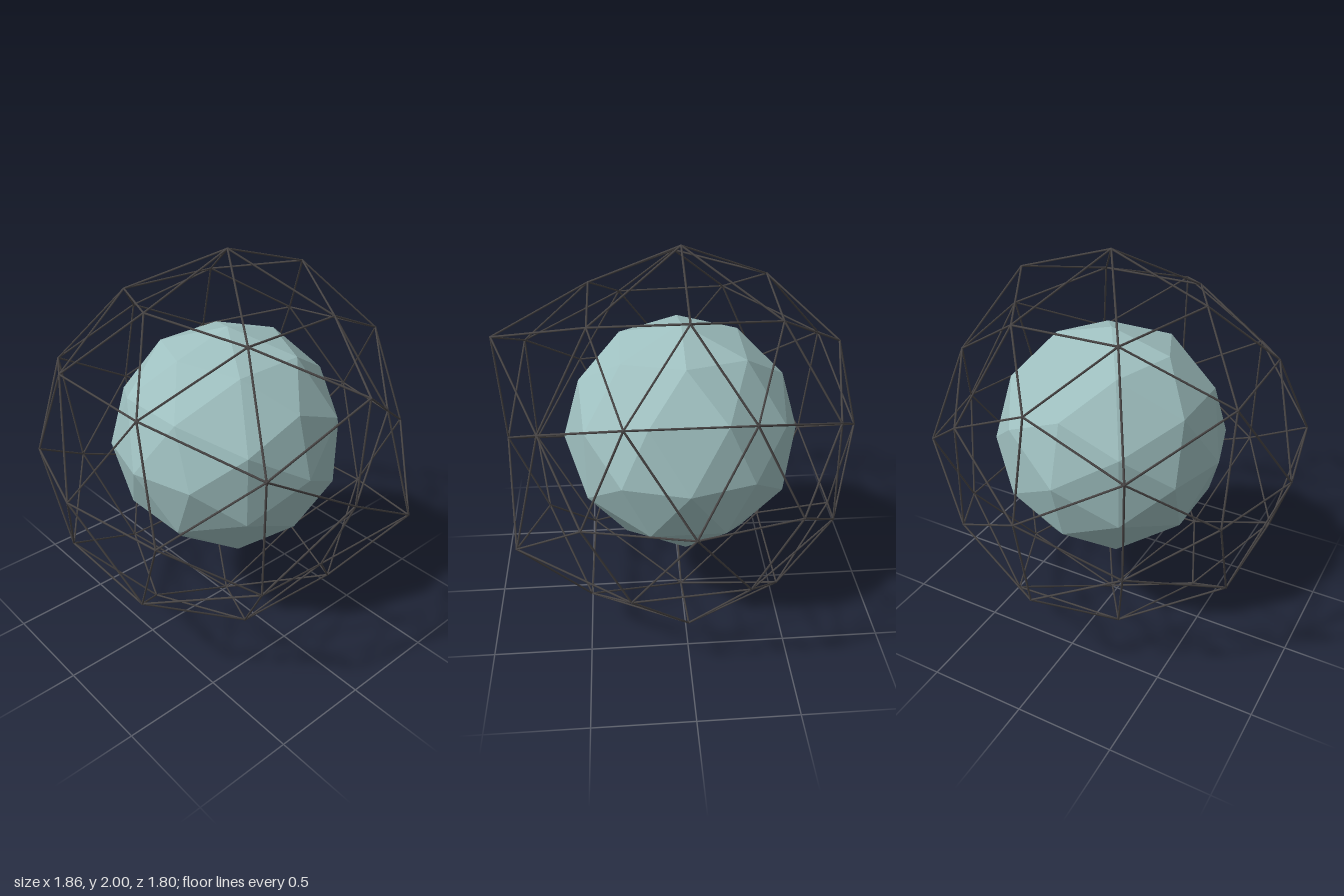
import * as THREE from 'three';

const CENTRE = new THREE.Vector3(0.03, 1.025, 0);
const WIRE = 0.005;

// Each family: a direction and the radius of every mirrored copy,
// ordered x+ then x-, inside it y+ then y-, inside it z+ then z-.
// Zero components are not mirrored.
const A = 0.5257, B = 0.8507;
const FAMILIES = [
  [[1, 0, 0], [0.893, 0.954]],
  [[0, 1, 0], [0.97, 1.015]],
  [[0, 0, 1], [0.868, 0.894]],
  [[A, B, 0], [0.95, 0.975, 0.922, 0.937]],
  [[0, A, B], [1.051, 0.907, 0.815, 0.942]],
  [[B, 0, A], [0.931, 0.91, 1.015, 0.946]],
  [[0.309, 0.809, 0.5], [0.87, 0.873, 0.975, 0.965, 0.873, 0.895, 0.945, 0.94]],
  [[0.5, 0.309, 0.809], [0.837, 0.865, 1.005, 0.875, 0.987, 0.972, 0.965, 0.876]],
  [[0.809, 0.5, 0.309], [0.94, 0.865, 0.92, 0.885, 0.93, 0.945, 0.975, 0.965]],
];

// Directions and displaced points of the outer lattice
function latticePoints() {
  const points = [];
  const signs = (v) => (v === 0 ? [1] : [1, -1]);
  for (const [[x, y, z], radii] of FAMILIES) {
    let i = 0;
    for (const sx of signs(x)) for (const sy of signs(y)) for (const sz of signs(z)) {
      const dir = new THREE.Vector3(x * sx, y * sy, z * sz).normalize();
      points.push({ dir, pos: dir.clone().multiplyScalar(radii[i++]) });
    }
  }
  return points;
}

function strut(a, b, material) {
  const along = b.clone().sub(a);
  const mesh = new THREE.Mesh(new THREE.CylinderGeometry(WIRE, WIRE, along.length(), 6), material);
  mesh.position.copy(a).add(b).multiplyScalar(0.5);
  mesh.quaternion.setFromUnitVectors(new THREE.Vector3(0, 1, 0), along.normalize());
  mesh.name = 'strut';
  return mesh;
}

export function createModel() {
  const model = new THREE.Group();
  model.name = 'facetedBallInCage';

  // Faceted inner ball
  const ball = new THREE.Mesh(
    new THREE.IcosahedronGeometry(0.59, 1),
    new THREE.MeshStandardMaterial({ color: 0x9fc0c0, flatShading: true })
  );
  ball.name = 'innerBall';
  ball.position.copy(CENTRE);
  model.add(ball);

  // Irregular wire cage: struts join neighbouring directions
  const cage = new THREE.Group();
  cage.name = 'wireCage';
  cage.position.copy(CENTRE);
  const wire = new THREE.MeshStandardMaterial({ color: 0x484545 });
  const points = latticePoints();
  points.forEach((p, i) => {
    for (const q of points.slice(i + 1)) {
      if (p.dir.distanceTo(q.dir) < 0.7) cage.add(strut(p.pos, q.pos, wire));
    }
    // Small joint closing the strut ends
    const joint = new THREE.Mesh(new THREE.IcosahedronGeometry(WIRE * 1.1, 1), wire);
    joint.name = 'joint';
    joint.position.copy(p.pos);
    cage.add(joint);
  });
  model.add(cage);
  return model;
}
